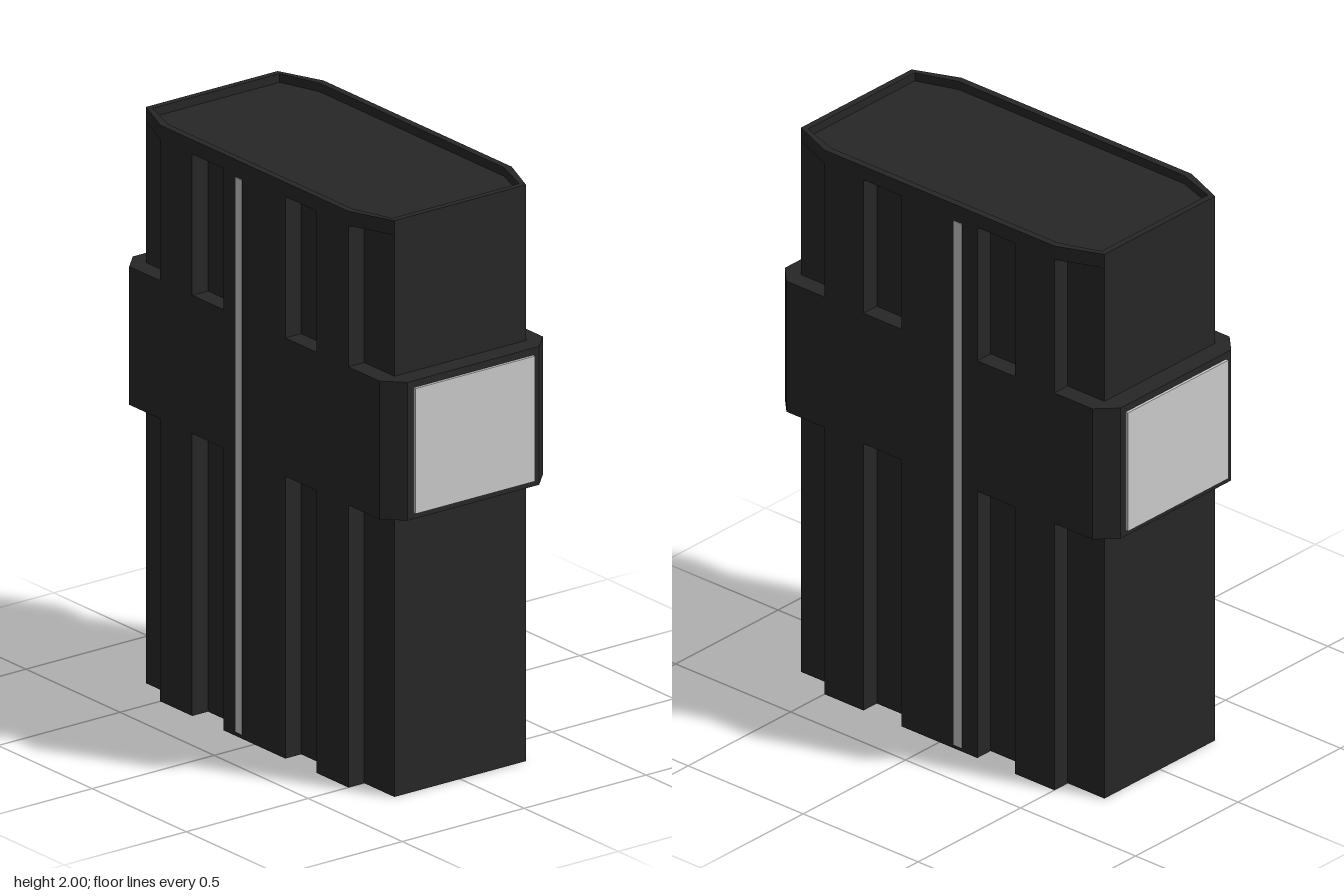
import * as THREE from 'three';

const dark = new THREE.MeshStandardMaterial({ color: 0x272727, flatShading: true });
const grey = new THREE.MeshStandardMaterial({ color: 0xcccccc });

// Mirrors a quarter outline (from +x axis side towards +z end) into a closed plan
function plan(quarter) {
  const back = [...quarter].reverse();
  return [
    ...quarter,
    ...back.map(([x, z]) => [-x, z]),
    ...quarter.map(([x, z]) => [-x, -z]),
    ...back.map(([x, z]) => [x, -z]),
  ].map(([x, z]) => new THREE.Vector2(x, z));
}

// Extrudes a plan upwards from y0 to y1
function slab(group, name, quarter, y0, y1, hole) {
  const shape = new THREE.Shape(plan(quarter));
  if (hole) shape.holes.push(new THREE.Path(plan(hole)));
  const geometry = new THREE.ExtrudeGeometry(shape, { depth: y1 - y0, bevelEnabled: false });
  geometry.rotateX(-Math.PI / 2).translate(0, y0, 0);
  const mesh = new THREE.Mesh(geometry, dark);
  mesh.name = name;
  group.add(mesh);
}

function box(group, name, size, position) {
  const mesh = new THREE.Mesh(new THREE.BoxGeometry(...size), grey);
  mesh.name = name;
  mesh.position.set(...position);
  group.add(mesh);
}

export function createModel() {
  const group = new THREE.Group();
  group.name = 'ribbedCase';

  const W = 0.335, inner = 0.27, L = 0.66;
  const ribbed = [[W, 0.165], [inner, 0.165], [inner, 0.33], [W, 0.33], [W, 0.5], [inner, 0.5], [inner, L]];
  const capped = [[W, 0.5], [inner, L]];
  const recess = [[0.31, 0.49], [0.26, 0.637]];
  const belt = [[W, 0.665], [inner, 0.73]];

  // Ribbed body, split by the wide belt
  slab(group, 'lowerBody', ribbed, 0, 0.98);
  slab(group, 'belt', belt, 0.98, 1.46);
  slab(group, 'upperBody', ribbed, 1.46, 1.95);

  // Cap with a raised rim around a shallow recess
  slab(group, 'cap', capped, 1.95, 1.97);
  slab(group, 'capRim', capped, 1.97, 2, recess);

  // Label panels on both ends, thin stripes on both sides
  for (const s of [1, -1]) {
    box(group, s > 0 ? 'frontPanel' : 'backPanel', [0.49, 0.435, 0.02], [0, 1.218, s * 0.73]);
    box(group, s > 0 ? 'leftStripe' : 'rightStripe', [0.01, 1.925, 0.035], [s * 0.333, 0.977, -0.082]);
  }
  return group;
}
